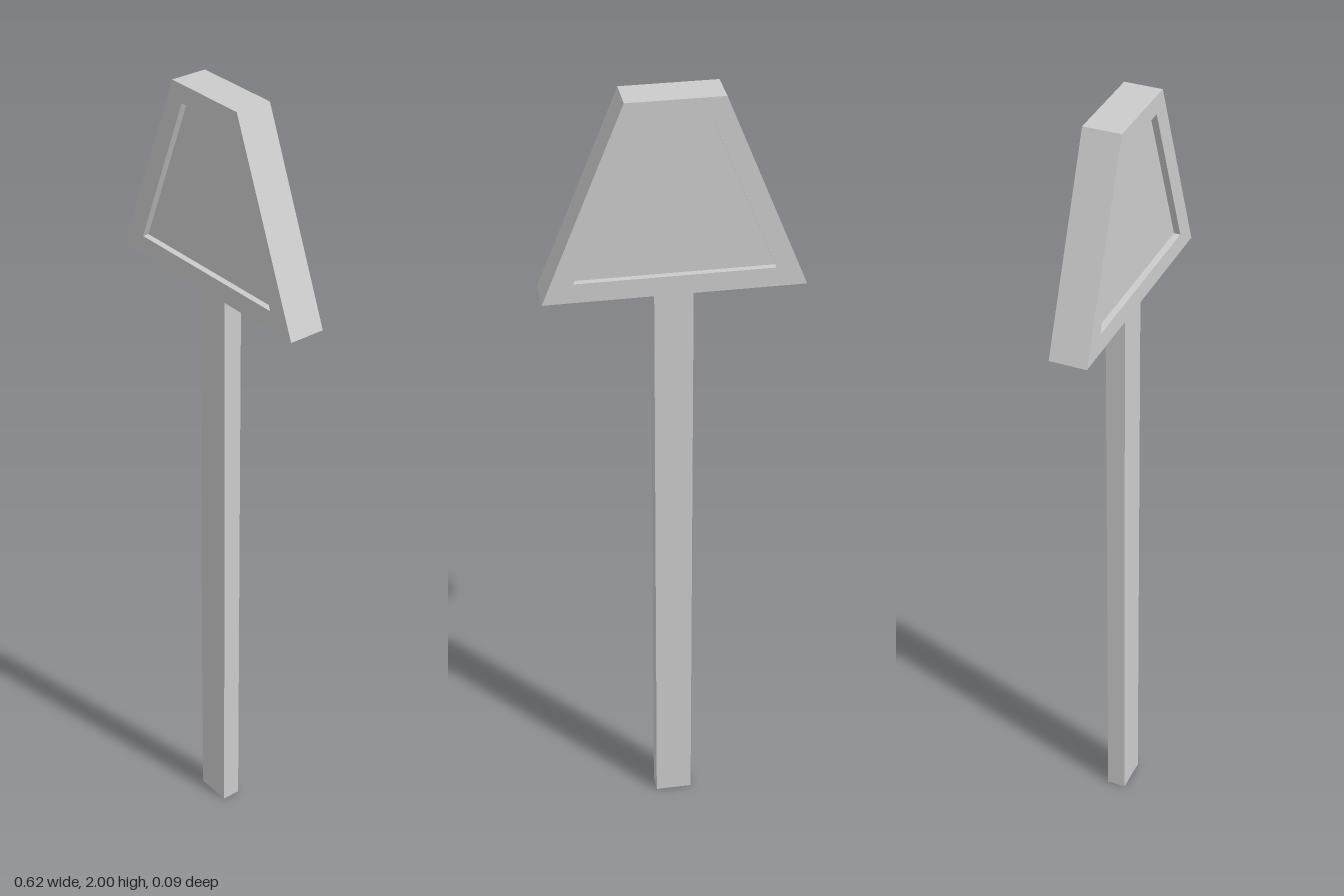
import * as THREE from 'three';

const material = new THREE.MeshStandardMaterial({ color: 0xcccccc, flatShading: true });

// Symmetric trapezoid outline, counter-clockwise
function trapezoid(bottomHalf, bottomY, topHalf, topY, Type = THREE.Shape) {
  return new Type([
    new THREE.Vector2(-bottomHalf, bottomY),
    new THREE.Vector2(bottomHalf, bottomY),
    new THREE.Vector2(topHalf, topY),
    new THREE.Vector2(-topHalf, topY),
  ]);
}

// Extrusion centred on z = 0
function slab(name, shape, depth) {
  const geometry = new THREE.ExtrudeGeometry(shape, { depth, bevelEnabled: false });
  geometry.translate(0, 0, -depth / 2);
  const mesh = new THREE.Mesh(geometry, material);
  mesh.name = name;
  return mesh;
}

export function createModel() {
  const model = new THREE.Group();
  model.name = 'signPost';

  // Flat rectangular post
  const postHeight = 1.52;
  const post = new THREE.Mesh(new THREE.BoxGeometry(0.092, postHeight, 0.048), material);
  post.name = 'post';
  post.position.y = postHeight / 2;
  model.add(post);

  // Head: raised rim around a panel recessed on both faces
  const head = new THREE.Group();
  head.name = 'head';
  const rim = trapezoid(0.308, postHeight, 0.114, 2);
  rim.holes.push(trapezoid(0.235, 1.568, 0.08, 1.955, THREE.Path));
  head.add(slab('rim', rim, 0.092));
  head.add(slab('panel', trapezoid(0.235, 1.568, 0.08, 1.955), 0.06));
  model.add(head);

  return model;
}
